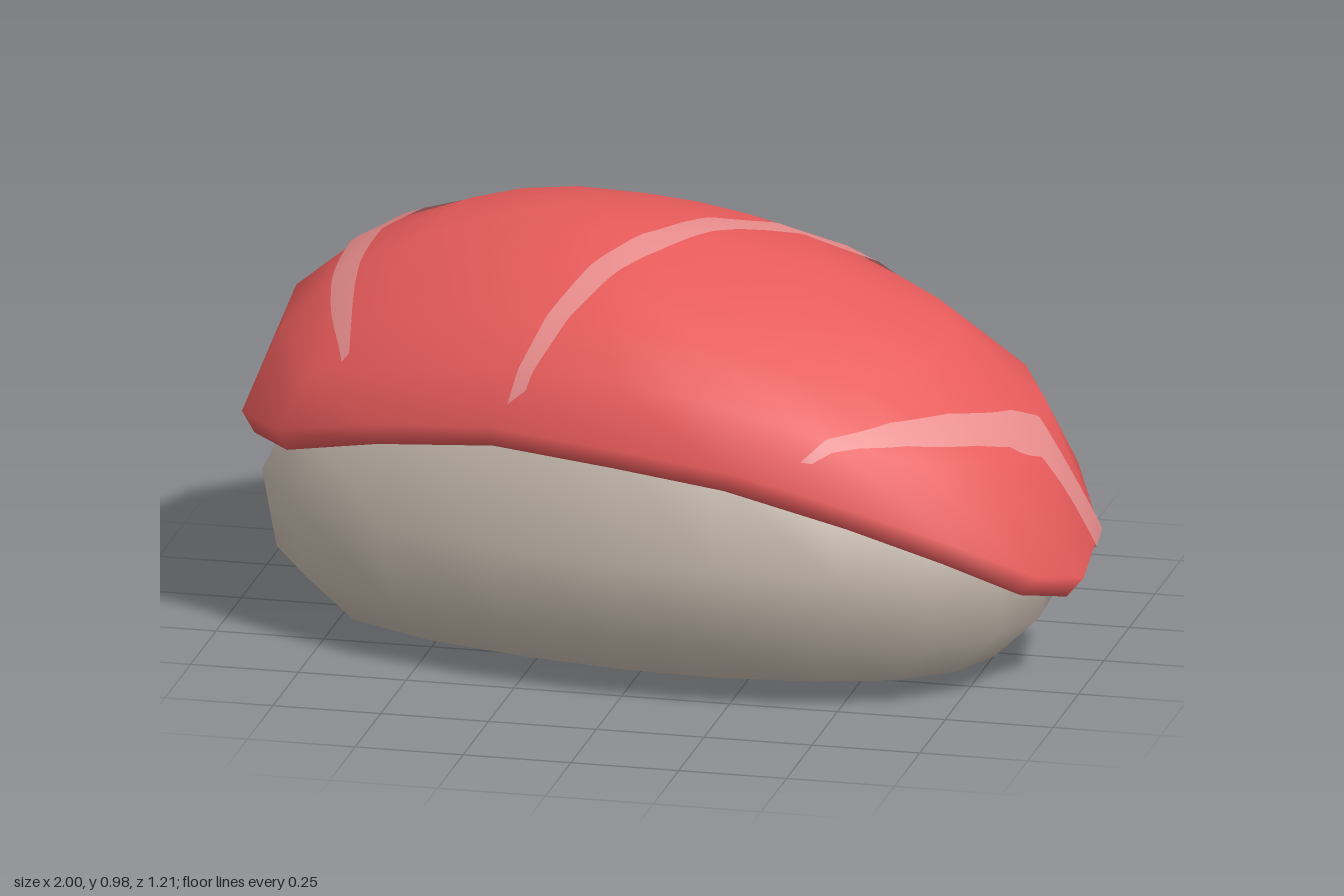
import * as THREE from 'three';

// Outline of the topping seen from above: x, z, height of the lower edge, slope (higher is flatter near the rim)
const RIM = [
  [-1, -0.17, 0.42, 0.5], [-0.9, -0.4, 0.45, 0.5], [-0.69, -0.56, 0.5, 0.5], [-0.42, -0.61, 0.56, 0.5],
  [-0.08, -0.58, 0.585, 0.54], [0.2, -0.53, 0.575, 0.57], [0.48, -0.44, 0.54, 0.6], [0.73, -0.31, 0.45, 0.64],
  [0.9, -0.17, 0.36, 0.58], [0.99, 0, 0.26, 0.5], [1, 0.2, 0.21, 0.5], [0.93, 0.37, 0.26, 0.62],
  [0.78, 0.5, 0.36, 0.76], [0.56, 0.57, 0.45, 0.78], [0.27, 0.6, 0.53, 0.68], [0, 0.585, 0.56, 0.62],
  [-0.3, 0.53, 0.575, 0.68], [-0.6, 0.44, 0.53, 0.78], [-0.85, 0.3, 0.455, 0.82], [-0.98, 0.08, 0.42, 0.58],
];
const N = RIM.length;
const CX = -0.18, CZ = -0.04, APEX = 0.975, EDGE = 0.05;
const DOME = [1, 0.89, 0.71, 0.46, 0.22, 0]; // ring radii from rim to apex
const SURFACE = [1.1, ...DOME]; // the same, with the lip below the rim counted as 1.1

// Closed smooth surface through rings listed from the bottom up
function loft(rings) {
  const index = [];
  for (let i = 0; i < rings.length - 1; i++) {
    for (let j = 0; j < N; j++) {
      const k = (j + 1) % N;
      const a = i * N + j, b = i * N + k, c = b + N, d = a + N;
      index.push(a, d, c, a, c, b);
    }
  }
  const geo = new THREE.BufferGeometry();
  geo.setAttribute('position', new THREE.Float32BufferAttribute(rings.flat(2), 3));
  geo.setIndex(index);
  geo.computeVertexNormals();
  const last = (rings.length - 1) * N;
  for (let j = 0; j < N; j++) {
    geo.attributes.normal.setXYZ(j, 0, -1, 0);
    geo.attributes.normal.setXYZ(last + j, 0, 1, 0);
  }
  return geo;
}

// Rice: a plump cushion, flat underneath, its shoulder following the fish's lower edge
function riceGeometry() {
  const shoulder = (rim) => Math.min(0.6, Math.max(0.46, rim + 0.03));
  // x scale, z scale, height
  const profile = [
    [0, 0, () => 0], [0.61, 0.48, () => 0], [0.845, 0.75, () => 0.042], [0.965, 0.945, () => 0.155],
    [1, 1, () => 0.335], [0.93, 0.93, shoulder], [0.72, 0.72, () => 0.68], [0, 0, () => 0.8],
  ];
  return loft(profile.map(([sx, sz, height]) => (
    RIM.map(([x, z, y]) => [x * sx * 0.94 - 0.012, height(y), z * sz * 0.995])
  )));
}

// Fish slice: a domed cap with a thin rounded lip
function fishGeometry() {
  const ring = (r, height) => RIM.map(([x, z, y, p]) => [CX + (x - CX) * r, height(y, p), CZ + (z - CZ) * r]);
  const dome = DOME.map((r) => ring(r, (y, p) => y + EDGE + (APEX - y - EDGE) * (1 - r * r) ** p));
  return loft([ring(0.8, (y) => y + 0.03), ring(0.965, (y) => y), ...dome]);
}

// Point and normal on the fish's outer surface for a given x, z (past the rim it follows the lip)
function onFish(geo, x, z) {
  const px = x - CX, pz = z - CZ;
  let seg = 0, u = 0, f = 0;
  for (let j = 0; j < N; j++) {
    const [ax, az] = RIM[j], [bx, bz] = RIM[(j + 1) % N];
    const dx = ax - CX, dz = az - CZ, ex = bx - CX, ez = bz - CZ;
    const det = dx * ez - dz * ex;
    const s = (px * ez - pz * ex) / det, t = (dx * pz - dz * px) / det;
    if (s >= 0 && t >= 0 && s + t > 0) {
      seg = j;
      u = Math.min(SURFACE[0], s + t);
      f = t / (s + t);
      break;
    }
  }
  let i = 0;
  while (i < SURFACE.length - 2 && u < SURFACE[i + 1]) i++;
  const g = (SURFACE[i] - u) / (SURFACE[i] - SURFACE[i + 1]);
  const read = (name) => {
    const at = (row, col) => new THREE.Vector3().fromBufferAttribute(geo.attributes[name], (row + 1) * N + (col % N));
    return at(i, seg).lerp(at(i, seg + 1), f).lerp(at(i + 1, seg).lerp(at(i + 1, seg + 1), f), g);
  };
  const normal = read('normal').normalize();
  return { point: read('position').addScaledVector(normal, 0.007), normal };
}

// Fat stripe: a thin band between two edge curves, laid on the fish
function stripeGeometry(fish, edgeA, edgeB) {
  const curve = (pts) => new THREE.CatmullRomCurve3(pts.map(([x, z]) => new THREE.Vector3(x, 0, z)));
  const a = curve(edgeA), b = curve(edgeB);
  const LONG = 90, WIDE = 5, pos = [], nor = [], index = [];
  for (let i = 0; i <= LONG; i++) {
    const pa = a.getPoint(i / LONG), pb = b.getPoint(i / LONG);
    for (let j = 0; j <= WIDE; j++) {
      const p = pa.clone().lerp(pb, j / WIDE);
      const { point, normal } = onFish(fish, p.x, p.z);
      pos.push(...point.toArray());
      nor.push(...normal.toArray());
      if (i < LONG && j < WIDE) {
        const k = i * (WIDE + 1) + j, n = k + WIDE + 1;
        index.push(k, k + 1, n + 1, k, n + 1, n);
      }
    }
  }
  const geo = new THREE.BufferGeometry();
  geo.setAttribute('position', new THREE.Float32BufferAttribute(pos, 3));
  geo.setAttribute('normal', new THREE.Float32BufferAttribute(nor, 3));
  geo.setIndex(index);
  return geo;
}

// Stripe edges in x, z: outer (left) edge, then inner (right) edge, running off the rim at the back
const STRIPES = [
  [[[-0.695, 0.29], [-0.765, 0.1], [-0.78, -0.1], [-0.725, -0.26], [-0.61, -0.41], [-0.46, -0.535], [-0.28, -0.66]],
    [[-0.68, 0.28], [-0.71, 0.08], [-0.705, -0.09], [-0.65, -0.25], [-0.53, -0.4], [-0.36, -0.51], [-0.13, -0.65]]],
  [[[-0.26, 0.51], [-0.155, 0.28], [0, 0.03], [0.2, -0.19], [0.38, -0.34], [0.55, -0.49]],
    [[-0.22, 0.5], [-0.07, 0.26], [0.1, 0.02], [0.32, -0.19], [0.49, -0.31], [0.7, -0.44]]],
  [[[0.425, 0.545], [0.6, 0.39], [0.78, 0.21], [0.9, 0.06], [1.08, -0.06]],
    [[0.45, 0.54], [0.67, 0.4], [0.85, 0.24], [0.95, 0.1], [1.13, 0.01]]],
];

export function createModel() {
  const material = (name, color) => {
    const m = new THREE.MeshStandardMaterial({ color });
    m.name = name;
    return m;
  };
  const riceMat = material('rice', 0xc6baae);
  const fishMat = material('fish', 0xe85b5b);
  const stripeMat = material('fatStripe', 0xe88c8c);
  stripeMat.side = THREE.DoubleSide;

  const group = new THREE.Group();
  const add = (name, geo, mat) => {
    const mesh = new THREE.Mesh(geo, mat);
    mesh.name = name;
    group.add(mesh);
  };
  const fish = fishGeometry();
  add('rice', riceGeometry(), riceMat);
  add('fishSlice', fish, fishMat);
  STRIPES.forEach(([a, b], i) => add(`fatStripe${i + 1}`, stripeGeometry(fish, a, b), stripeMat));
  return group;
}
